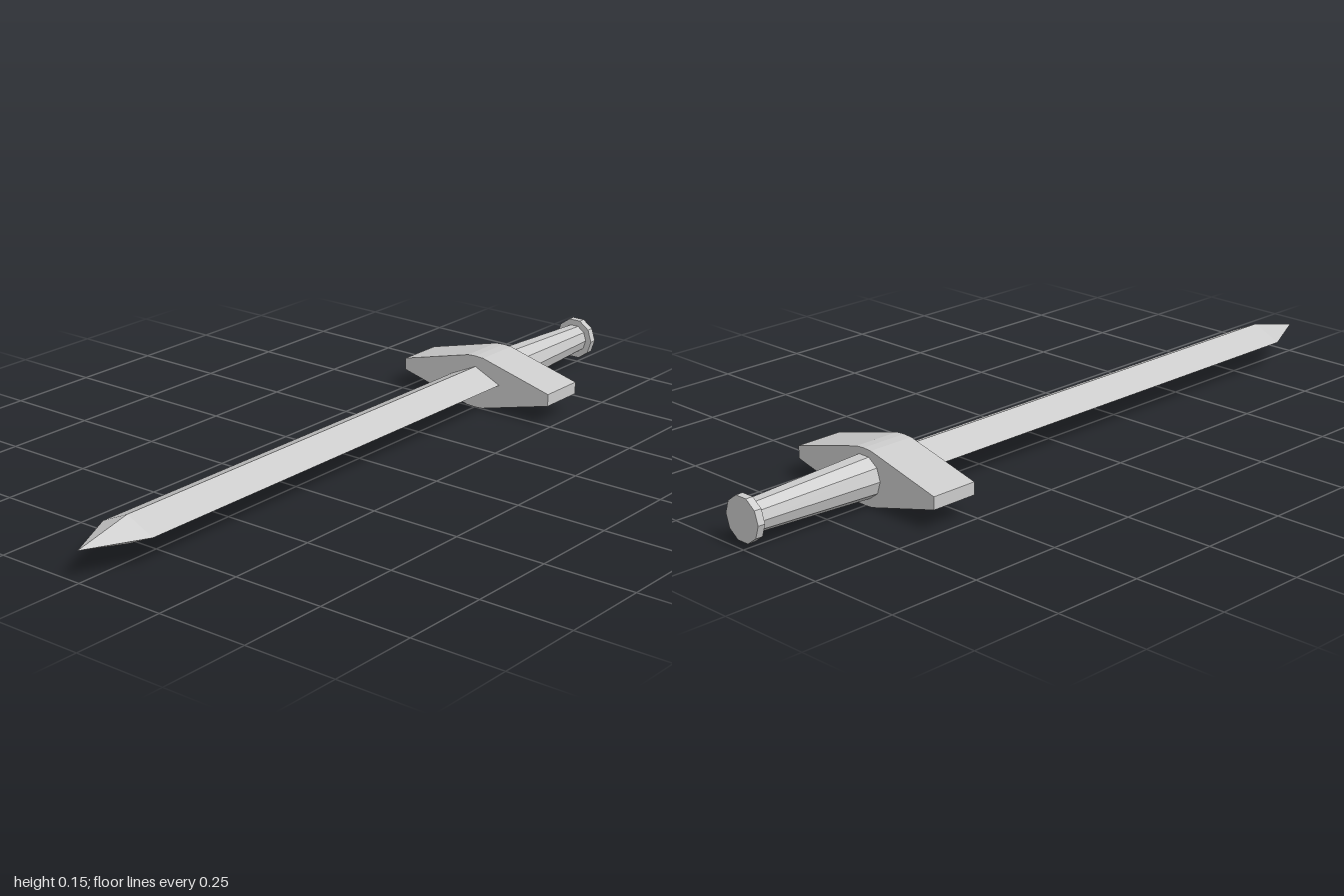
import * as THREE from 'three';

const AXIS_Y = 0.075;

// Faceted solid turned about the sword's long axis; profile is [x, radius] from tip to pommel
function turned(name, profile, sides, material, flatten = 1) {
  const points = profile.map(([x, r]) => new THREE.Vector2(r, x));
  const geometry = new THREE.LatheGeometry(points, sides);
  geometry.rotateZ(-Math.PI / 2);
  geometry.scale(1, flatten, 1);
  const mesh = new THREE.Mesh(geometry, material);
  mesh.name = name;
  mesh.position.y = AXIS_Y;
  return mesh;
}

export function createModel() {
  const group = new THREE.Group();
  group.name = 'sword';
  const material = new THREE.MeshStandardMaterial({ color: 0xcccccc, flatShading: true });

  // Blade: diamond section with a pointed tip
  const blade = turned('blade', [[-1, 0], [-0.84, 0.08], [0.51, 0.08], [0.51, 0]], 4, material, 0.46);
  blade.position.y = 0.08;
  group.add(blade);

  // Crossguard: long hexagon with slightly rounded crests, extruded along the blade
  const half = [[0.24, -0.017], [0.24, 0.016], [0.025, 0.072], [0, 0.0735]];
  const outline = [
    ...half,
    [-0.025, 0.072], [-0.24, 0.016], [-0.24, -0.017],
    [-0.025, -0.072], [0, -0.0735], [0.025, -0.072],
  ];
  const shape = new THREE.Shape(outline.map(([z, y]) => new THREE.Vector2(z, y)));
  const guardGeometry = new THREE.ExtrudeGeometry(shape, { depth: 0.13, bevelEnabled: false });
  guardGeometry.rotateY(Math.PI / 2);
  const guard = new THREE.Mesh(guardGeometry, material);
  guard.name = 'crossguard';
  guard.position.set(0.5, 0.0735, 0);
  group.add(guard);

  // Tapered grip and pommel disc
  group.add(turned('grip', [[0.62, 0], [0.62, 0.056], [0.985, 0.04]], 10, material));
  group.add(turned('pommel', [[0.98, 0], [0.98, 0.058], [1, 0.058], [1, 0]], 10, material));

  return group;
}
